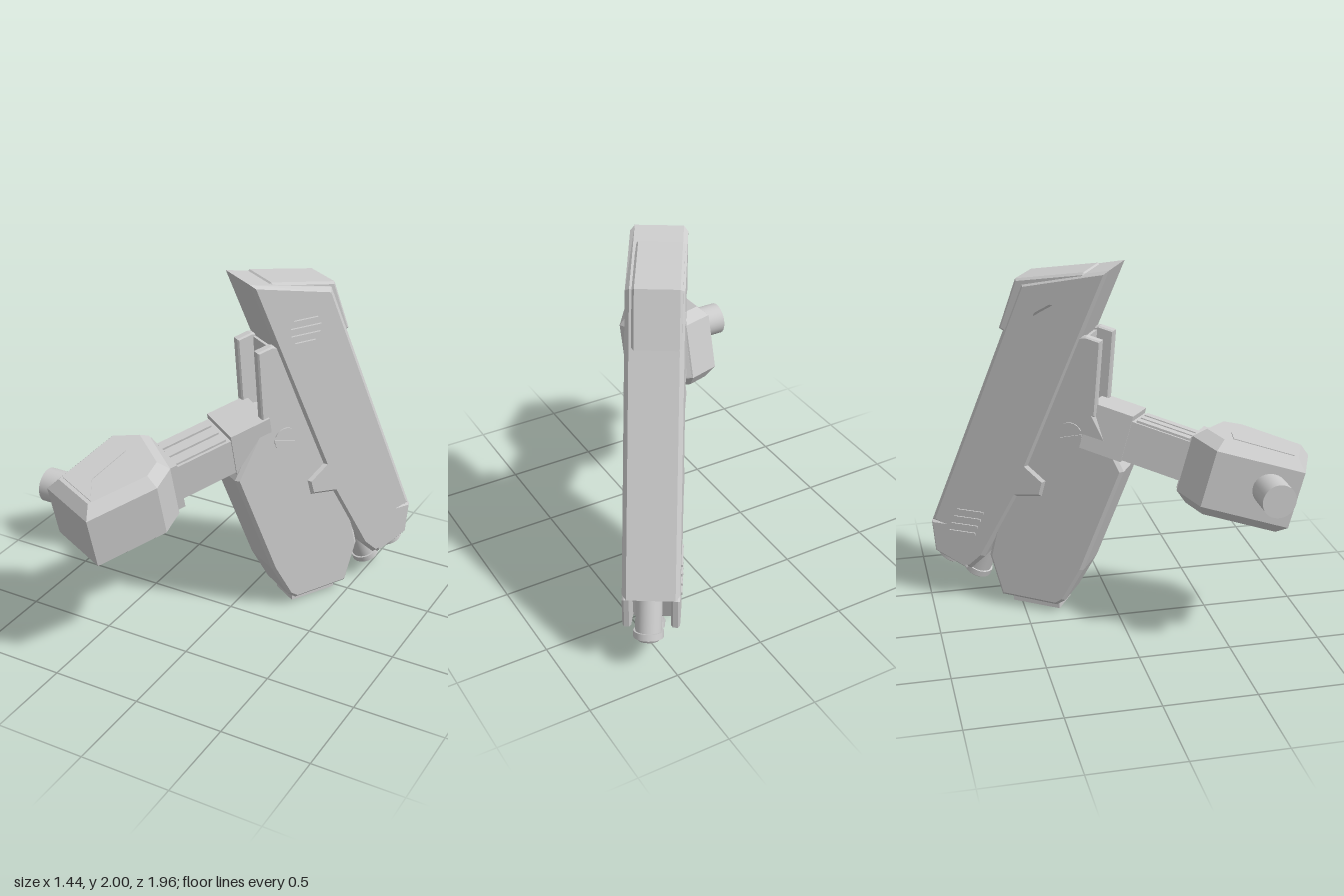
import * as THREE from 'three';

const mat = new THREE.MeshStandardMaterial({ color: 0xcccccc, flatShading: true });
const smooth = new THREE.MeshStandardMaterial({ color: 0xcccccc });

function add(parent, name, geo, x = 0, y = 0, z = 0, material = mat) {
  const m = new THREE.Mesh(geo, material);
  m.name = name;
  m.position.set(x, y, z);
  parent.add(m);
  return m;
}

const box = (parent, name, sx, sy, sz, x, y, z) => add(parent, name, new THREE.BoxGeometry(sx, sy, sz), x, y, z);

// Side outline extruded across the thickness z0..z1, with chamfered rims
function plate(parent, name, pts, z0, z1, bevel = 0, hole = null) {
  const shape = new THREE.Shape(pts.map(p => new THREE.Vector2(...p)));
  if (hole) {
    const h = new THREE.Path();
    h.absarc(hole[0], hole[1], hole[2], 0, Math.PI * 2, true);
    shape.holes.push(h);
  }
  const geo = new THREE.ExtrudeGeometry(shape, {
    depth: z1 - z0 - 2 * bevel, bevelEnabled: bevel > 0, bevelSize: bevel, bevelThickness: bevel,
    bevelOffset: -bevel, bevelSegments: 1, curveSegments: 20,
  });
  return add(parent, name, geo, 0, 0, z0 + bevel);
}

export function createModel() {
  const model = new THREE.Group();
  model.name = 'model';

  // Body frame: x runs backwards along the slab, z across its thickness
  const body = new THREE.Group();
  body.name = 'body';
  body.rotation.y = 1.017;
  model.add(body);
  const mid = 0.035;

  // Rear slab with round recess and a notched lower back corner
  plate(body, 'rearSlab', [
    [0.02, 2.0], [0.507, 1.9], [1.088, 0.47], [0.96, 0.43], [0.9, 0.21], [0.856, 0.2], [0.77, 0.284],
    [0.557, 0.68], [0.407, 0.7], [0.381, 0.8], [0.482, 0.88],
  ], -0.11, 0.18, 0.022, [0.345, 1.706, 0.115]);
  for (const [a, b] of [[-0.11, -0.065], [0.135, 0.18]]) {
    plate(body, 'cornerCheek', [[1.088, 0.47], [1.07, 0.284], [0.88, 0.2], [0.85, 0.3], [0.94, 0.47]], a, b, 0.01);
  }
  plate(body, 'topCap', [[0.16, 1.98], [0.54, 1.917], [0.64, 1.64], [0.6, 1.62], [0.4, 1.75], [0.1, 1.93]], -0.1, 0.145, 0.012);

  // Round recess floor and louvres
  const disc = add(body, 'recessDisc', new THREE.CylinderGeometry(0.13, 0.13, 0.245, 32), 0.345, 1.706, mid);
  disc.rotation.x = Math.PI / 2;
  for (let i = -2; i <= 2; i++) {
    const len = 2 * Math.sqrt(0.11 ** 2 - (i * 0.042) ** 2);
    box(body, 'louvre', len, 0.016, 0.02, 0.345, 1.706 + i * 0.042, 0.16);
  }

  // Front slab: solid lower part, two cheeks and a recessed web above
  plate(body, 'frontSlab', [
    [0.115, 1.235], [-0.057, 0.905], [0.18, 0.284], [0.29, 0.08], [0.34, 0.045], [0.672, 0.06],
    [0.741, 0.295], [0.62, 0.8], [0.45, 1.235],
  ], -0.095, 0.165, 0.018);
  for (const [a, b] of [[-0.095, -0.045], [0.115, 0.165]]) {
    plate(body, 'channelCheek', [[0.067, 1.62], [0.15, 1.64], [0.26, 1.62], [0.42, 1.2], [0.1, 1.2]], a, b, 0.008);
  }
  plate(body, 'channelWeb', [[0.16, 1.62], [0.3, 1.62], [0.45, 1.2], [0.19, 1.2]], -0.06, 0.13);

  // Slotted pivot heads on both faces
  for (const s of [1, -1]) {
    const z = mid + s * 0.131;
    for (const half of [0, 1]) {
      const arc = new THREE.Shape();
      const t = half * Math.PI;
      arc.absarc(0, 0, 0.066, t + 0.15, t + Math.PI - 0.15, false);
      const g = new THREE.ExtrudeGeometry(arc, { depth: 0.012, bevelEnabled: false });
      const m = add(body, 'pivotHalf', g, 0.24, 1.09, z - 0.006);
      m.rotation.z = -0.25;
    }
  }

  // Vent bars on the right face
  for (let i = 0; i < 4; i++) box(body, 'ventBar', 0.16, 0.014, 0.014, 0.84 + i * 0.018, 0.56 - i * 0.045, -0.111);

  // Pipes below the rear slab
  for (const [x, y] of [[0.885, 0.12], [1.045, 0.19]]) {
    const pipe = new THREE.Group();
    pipe.name = 'pipe';
    pipe.position.set(x, y, 0.05);
    pipe.rotation.z = 0.38;
    body.add(pipe);
    add(pipe, 'pipeTube', new THREE.CylinderGeometry(0.068, 0.068, 0.24, 24), 0, 0.14, 0, smooth);
    add(pipe, 'pipeRim', new THREE.CylinderGeometry(0.078, 0.078, 0.035, 24), 0, 0.025, 0, smooth);
    add(pipe, 'pipeTip', new THREE.CylinderGeometry(0.07, 0.056, 0.018, 24), 0, 0, 0, smooth);
  }

  // Foot plate and rear knob of the front slab
  box(body, 'footPlate', 0.28, 0.05, 0.17, 0.475, 0.037, mid).rotation.z = 0.03;
  const ring = add(body, 'footRing', new THREE.TorusGeometry(0.05, 0.01, 8, 24), 0.475, 0.012, mid, smooth);
  ring.rotation.x = Math.PI / 2;
  const knob = add(body, 'rearKnob', new THREE.CylinderGeometry(0.045, 0.045, 0.04, 20), 0.715, 0.17, mid, smooth);
  knob.rotation.z = Math.PI / 2 - 0.28;

  // Head frame, pitched forward
  const head = new THREE.Group();
  head.name = 'head';
  head.position.set(-0.32, 0.916, 0.64);
  head.rotation.x = 0.265;
  model.add(head);

  // Chamfered head block, outline given in plan (x, -z)
  const block = plate(head, 'headBlock', [
    [-0.28, -0.17], [0.05, -0.31], [0.26, 0.03], [0.25, 0.18], [0.01, 0.37], [-0.18, 0.29],
  ], -0.21, 0.21, 0.055);
  block.rotation.x = -Math.PI / 2;
  block.position.set(0, -0.155, 0);
  plate(head, 'topPanel', [[-0.2, -0.12], [0.03, -0.22], [-0.05, -0.08], [0, 0.17], [-0.1, 0.19]], 0, 0.008)
    .rotation.x = -Math.PI / 2;
  head.children[1].position.y = 0.206;

  // Side nozzle
  const nozzle = add(head, 'nozzle', new THREE.CylinderGeometry(0.09, 0.09, 0.3, 32), -0.25, 0.02, 0.025, smooth);
  nozzle.rotation.z = Math.PI / 2;

  // Arm, neck collar and connector into the body
  const arm = new THREE.Group();
  arm.name = 'arm';
  arm.position.set(0.111, 0, -0.248);
  arm.rotation.y = 1.03;
  head.add(arm);
  box(arm, 'armBeam', 0.5, 0.22, 0.235, 0.15, 0, 0);
  box(arm, 'neckCollar', 0.14, 0.29, 0.28, -0.01, 0, 0);
  box(arm, 'connector', 0.24, 0.26, 0.25, 0.51, 0.01, 0);
  for (const z of [-0.075, 0, 0.075]) box(arm, 'armRib', 0.3, 0.016, 0.055, 0.22, 0.114, z);

  return model;
}
